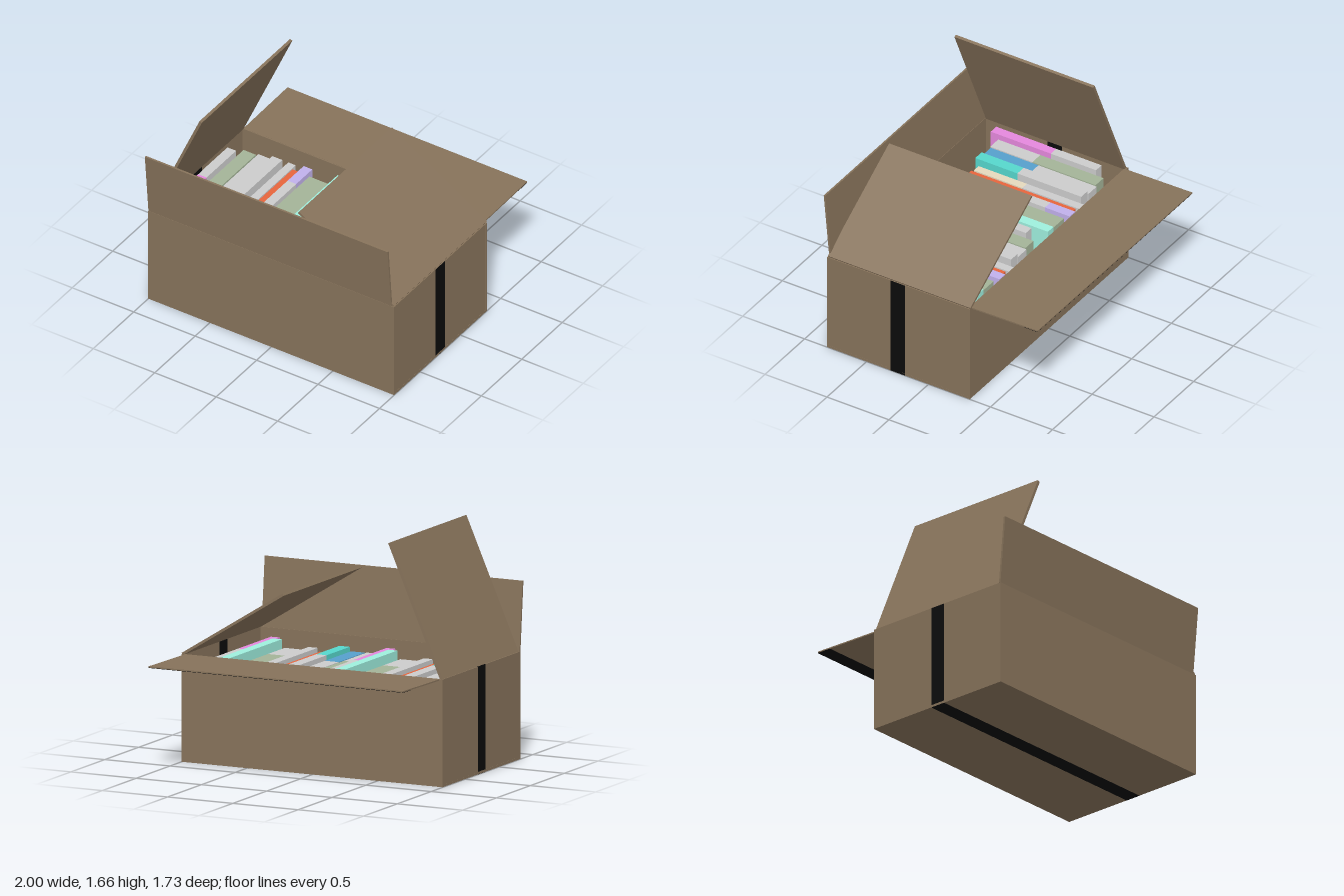
import * as THREE from 'three';

const mat = (color) => new THREE.MeshStandardMaterial({ color });
const card = mat(0x86725a), tape = mat(0x0b0b0b);
const paper = mat(0xcccccc);
const sage = mat(0xa3b397), orange = mat(0xe6643c), purple = mat(0xc0b0ea), tan = mat(0xe4d8bd);
const teal = mat(0x9eeedd), magenta = mat(0xe488dc), blue = mat(0x569fcc), turquoise = mat(0x56d6cc);

// Box given by its minimum and maximum on each axis
function block(name, material, [x0, x1], [y0, y1], [z0, z1]) {
  const mesh = new THREE.Mesh(new THREE.BoxGeometry(x1 - x0, y1 - y0, z1 - z0), material);
  mesh.position.set((x0 + x1) / 2, (y0 + y1) / 2, (z0 + z1) / 2);
  mesh.name = name;
  return mesh;
}

// Flat panel running from the hinge point to the tip point, of given width
function flap(name, hinge, tip, width, thickness) {
  const a = new THREE.Vector3(...hinge), b = new THREE.Vector3(...tip);
  const along = b.clone().sub(a);
  const side = Math.abs(along.x) > Math.abs(along.z) ? new THREE.Vector3(0, 0, 1) : new THREE.Vector3(1, 0, 0);
  const mesh = new THREE.Mesh(new THREE.BoxGeometry(width, along.length(), thickness), card);
  const up = along.clone().normalize();
  mesh.quaternion.setFromRotationMatrix(
    new THREE.Matrix4().makeBasis(side, up, side.clone().cross(up)));
  mesh.position.copy(a).add(b).multiplyScalar(0.5);
  mesh.name = name;
  return mesh;
}

// One set of books: x range, back z, split z, front z, height, back and front colours
const bookSet = [
  [-0.57, -0.51, -0.26, 0.21, 0.60, 0.66, paper, tan],
  [-0.51, -0.45, -0.22, 0.20, 0.62, 0.65, orange, orange],
  [-0.445, -0.375, -0.26, -0.06, 0.60, 0.68, purple, paper],
  [-0.37, -0.175, -0.215, 0.385, 0.635, 0.65, sage, paper],
  [-0.17, -0.10, -0.26, 0.20, 0.60, 0.715, teal, teal],
  [-0.095, -0.025, -0.13, 0.235, 0.72, 0.70, paper, magenta],
  [-0.01, 0.09, -0.20, 0.31, 0.65, 0.67, sage, paper],
  [0.10, 0.205, -0.215, 0.255, 0.64, 0.67, paper, blue],
  [0.215, 0.295, -0.215, 0.30, 0.64, 0.70, paper, turquoise],
];

export function createModel() {
  const model = new THREE.Group();
  model.name = 'openBoxOfBooks';

  // Carton walls and floor
  const carton = new THREE.Group();
  carton.name = 'carton';
  const z0 = -0.333, z1 = 0.82, top = 0.745, t = 0.018;
  carton.add(
    block('floor', card, [-1, 1], [0.001, t], [z0, z1]),
    block('frontWall', card, [-1, 1], [0.001, top], [z1 - t, z1]),
    block('backWall', card, [-1, 1], [0.001, top], [z0, z0 + t]));
  for (const s of [-1, 1]) {
    const x = s * (1 - t / 2 - 0.001);
    carton.add(block(s > 0 ? 'leftWall' : 'rightWall', card,
      [x - t / 2, x + t / 2], [0.001, top], [z0 + t, z1 - t]));
  }

  // Four open flaps
  carton.add(
    flap('frontFlap', [-0.0125, 0.745, 0.811], [-0.0125, 1.228, 0.855], 1.975, 0.014),
    flap('backFlap', [0, 0.741, -0.325], [0, 0.75, -0.865], 1.95, 0.009),
    flap('leftFlap', [0.992, 0.748, 0.24], [0.219, 1.227, 0.24], 1.15, 0.018),
    flap('rightFlap', [-0.985, 0.742, 0.24], [-0.586, 1.655, 0.24], 1.12, 0.02));
  model.add(carton);

  // Tape around the base and sides, and along the back flap's underside
  const tz = [0.19, 0.305], e = 0.002;
  const tapes = new THREE.Group();
  tapes.name = 'tape';
  tapes.add(
    block('bottomTape', tape, [-1, 1], [0, t + e], tz),
    block('leftTape', tape, [1 - t - 2 * e, 1], [0, top], tz),
    block('rightTape', tape, [-1, -1 + t + 2 * e], [0, top], tz));
  const strip = block('backFlapTape', tape, [-0.975, 0.975], [0.7418, 0.7448], [-0.864, -0.755]);
  strip.rotation.x = 0.0167;
  tapes.add(strip);
  model.add(tapes);

  // Row of books, the set repeating across the box
  const books = new THREE.Group();
  books.name = 'books';
  for (const shift of [-0.885, 0, 0.885]) {
    for (const [xa, xb, back, split, front, height, c1, c2] of bookSet) {
      if (xa + shift < -0.98 || xb + shift > 0.9) continue;
      const x = [xa + shift, xb + shift], y = [t, height];
      if (c1 === c2) {
        books.add(block('book', c1, x, y, [back, front]));
      } else {
        books.add(block('backBook', c1, x, y, [back, split]));
        books.add(block('frontBook', c2, x, y, [split, front]));
      }
    }
  }
  model.add(books);
  return model;
}
